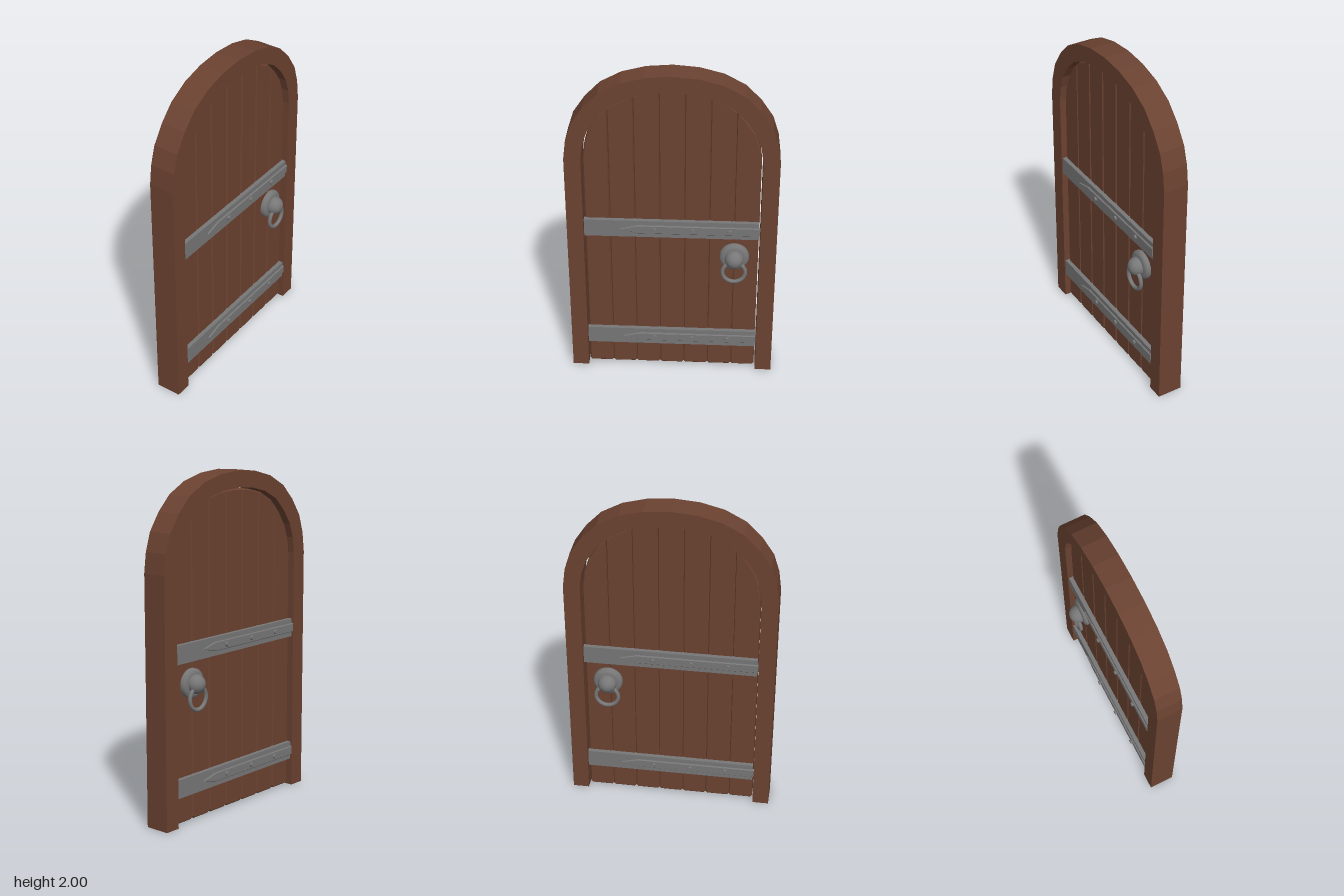
import * as THREE from 'three';

// Half of the arch, from the spring line to the crown: [half width, height]
const OUTER = [[0.613, 1.47], [0.598, 1.587], [0.564, 1.695], [0.495, 1.797], [0.407, 1.887], [0.286, 1.952], [0.148, 1.988], [0, 2]];
const INNER = [[0.516, 1.47], [0.503, 1.565], [0.474, 1.65], [0.417, 1.735], [0.342, 1.811], [0.24, 1.865], [0.125, 1.893], [0, 1.902]];
const GAP = 0.008;

export function createModel() {
  const model = new THREE.Group();
  model.name = 'archedDoor';
  const wood = new THREE.MeshStandardMaterial({ color: 0x6b4231 });
  wood.name = 'brown wood';
  const iron = new THREE.MeshStandardMaterial({ color: 0x777777 });
  iron.name = 'grey iron';

  const add = (parent, name, geometry, material) => {
    const mesh = new THREE.Mesh(geometry, material);
    mesh.name = name;
    parent.add(mesh);
    return mesh;
  };

  // Extrudes an outline drawn in the door plane (u = -z, y) from x0 to x1
  const slab = (points, x0, x1, bevel = 0) => {
    const shape = new THREE.Shape(points.map(([u, y]) => new THREE.Vector2(u, y)));
    const geometry = new THREE.ExtrudeGeometry(shape, {
      depth: x1 - x0 - 2 * bevel, bevelEnabled: bevel > 0, bevelSegments: 1,
      bevelSize: bevel, bevelThickness: bevel, bevelOffset: -bevel,
    });
    return geometry.translate(0, 0, x0 + bevel).rotateY(Math.PI / 2);
  };

  // Whole arch from right foot to left foot
  const arch = (half) => {
    const right = [[half[0][0], 0], ...half];
    return [...right, ...right.slice(0, -1).reverse().map(([u, y]) => [-u, y])];
  };
  add(model, 'frame', slab([...arch(OUTER), ...arch(INNER).reverse()], -0.076, 0.076), wood);

  // Planks follow the underside of the arch
  const crown = arch(INNER).slice(1, -1).map(([u, y]) => [u * (1 - GAP / 0.516), y - GAP]);
  const crownHeight = (u) => {
    for (let i = 0; i < crown.length - 1; i++) {
      const [a, ya] = crown[i], [b, yb] = crown[i + 1];
      if (u <= a + 1e-6 && u >= b - 1e-6) return ya + (yb - ya) * (a - u) / (a - b);
    }
    return crown[0][1];
  };
  const planks = new THREE.Group();
  planks.name = 'planks';
  model.add(planks);
  const count = 7, width = 2 * crown[0][0] / count, cut = 0.012;
  for (let i = 0; i < count; i++) {
    const l = -crown[0][0] + i * width, r = l + width;
    const top = crown.filter(([u]) => u > l + 0.004 && u < r - 0.004);
    add(planks, 'plank', slab([
      [l, 0.01 + cut], [l + cut, 0.01], [r - cut, 0.01], [r, 0.01 + cut],
      [r, crownHeight(r)], ...top, [l, crownHeight(l)],
    ], -0.045, 0.045, 0.007), wood);
  }

  // Ironwork for one face, pointing along +x
  const addFace = (name, turn, handleU) => {
    const face = new THREE.Group();
    face.name = name;
    face.rotation.y = turn;
    model.add(face);

    for (const y of [0.228, 1.01]) {
      const strap = new THREE.Group();
      strap.name = 'strap';
      strap.position.y = y;
      face.add(strap);
      add(strap, 'strapBand', slab([[-0.512, -0.055], [0.508, -0.055], [0.508, 0.055], [-0.512, 0.055]], 0.04, 0.07), iron);
      add(strap, 'strapPoint', slab([
        [-0.3, 0], [-0.2, -0.027], [0.514, -0.027], [0.514, 0.027], [-0.2, 0.027],
      ], 0.06, 0.079, 0.004), iron);
      for (const u of [-0.102, 0.122, 0.338]) {
        const bolt = add(strap, 'bolt', new THREE.CylinderGeometry(0.012, 0.016, 0.02, 12).rotateZ(-Math.PI / 2), iron);
        bolt.position.set(0.08, 0, -u);
      }
    }

    const handle = new THREE.Group();
    handle.name = 'handle';
    handle.position.set(0, 0.825, -handleU);
    face.add(handle);
    // Domed back plate turned around the x axis
    const plate = [[0.087, 0.042], [0.087, 0.062], [0.08, 0.072], [0.062, 0.08], [0, 0.082]];
    add(handle, 'backPlate', new THREE.LatheGeometry(
      plate.map(([r, h]) => new THREE.Vector2(r, h)), 32).rotateZ(-Math.PI / 2), iron);
    add(handle, 'knob', new THREE.SphereGeometry(0.056, 24, 16), iron).position.x = 0.085;
    const ring = add(handle, 'pullRing', new THREE.TorusGeometry(0.067, 0.012, 10, 32).rotateY(Math.PI / 2), iron);
    ring.position.set(0.1, -0.08, 0);
  };
  addFace('leftFaceIronwork', 0, 0.368);
  addFace('rightFaceIronwork', Math.PI, -0.374);

  return model;
}
